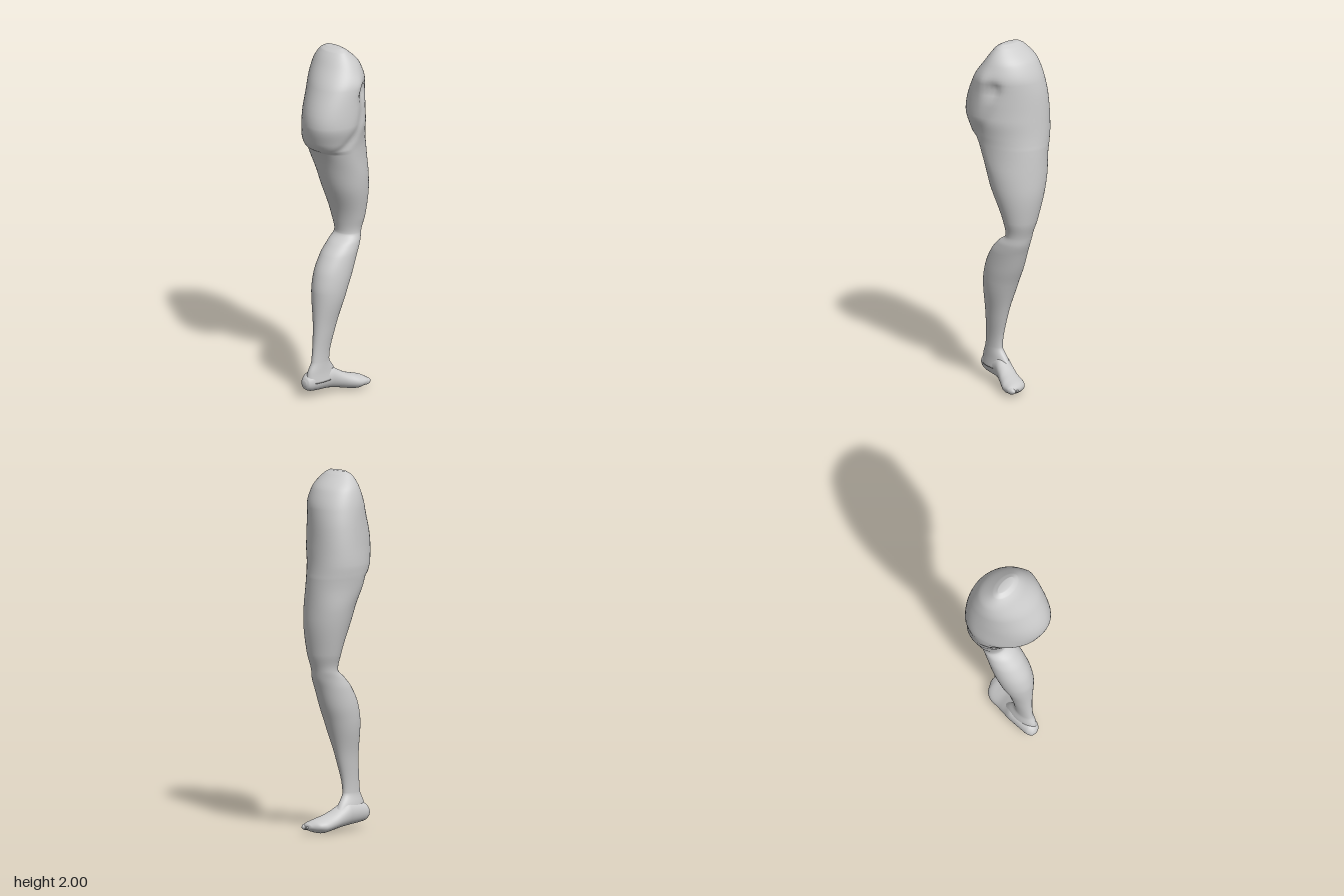
import * as THREE from 'three';

const material = new THREE.MeshStandardMaterial({ color: 0xcccccc, roughness: 0.8 });
const { smoothstep, clamp, lerp } = THREE.MathUtils;

// Smooth interpolation of one table column without overshoot
function sample(rows, col, t) {
  const n = rows.length;
  let i = 0;
  while (i < n - 2 && t > rows[i + 1][0]) i++;
  const slope = k => (rows[k + 1][col] - rows[k][col]) / (rows[k + 1][0] - rows[k][0]);
  const tangent = k => {
    if (k === 0) return slope(0);
    if (k === n - 1) return slope(n - 2);
    const a = slope(k - 1), b = slope(k);
    return a * b <= 0 ? 0 : (2 * a * b) / (a + b);
  };
  const h = rows[i + 1][0] - rows[i][0], u = (t - rows[i][0]) / h, u2 = u * u, u3 = u2 * u;
  return (2 * u3 - 3 * u2 + 1) * rows[i][col] + (u3 - 2 * u2 + u) * h * tangent(i)
    + (3 * u2 - 2 * u3) * rows[i + 1][col] + (u3 - u2) * h * tangent(i + 1);
}

// Closed skin through egg-shaped sections [t, aMin, aMax, bMin, bMax];
// shape(t, mean) gives the widest point along a and the two skews
function loft(name, rows, shape, place, steps, sides) {
  const ts = [];
  for (let i = 0; i < rows.length - 1; i++)
    for (let s = 0; s < steps; s++) ts.push(rows[i][0] + (rows[i + 1][0] - rows[i][0]) * s / steps);
  ts.push(rows[rows.length - 1][0]);
  const pos = [], index = [];
  for (const t of ts) {
    const [a0, a1, b0, b1] = [1, 2, 3, 4].map(c => sample(rows, c, t));
    const [mid, ka, kb] = shape(t, (a0 + a1) / 2);
    for (let j = 0; j < sides; j++) {
      const q = j / sides * Math.PI * 2, c = Math.cos(q), s = Math.sin(q);
      pos.push(...place(t, mid + (c > 0 ? a1 - mid : mid - a0) * c + ka * s,
        (b0 + b1) / 2 + (b1 - b0) / 2 * s + kb * c));
    }
  }
  const last = ts.length - 1;
  for (let i = 0; i < last; i++)
    for (let j = 0; j < sides; j++) {
      const k = (j + 1) % sides, a = i * sides + j, b = i * sides + k;
      index.push(a, a + sides, b, b, a + sides, b + sides);
    }
  // End caps
  for (const end of [0, last]) {
    const r = rows[end ? rows.length - 1 : 0], centre = pos.length / 3;
    pos.push(...place(r[0], (r[1] + r[2]) / 2, (r[3] + r[4]) / 2));
    for (let j = 0; j < sides; j++) {
      const a = end * sides + j, b = end * sides + (j + 1) % sides;
      if (end) index.push(a, centre, b); else index.push(a, b, centre);
    }
  }
  const g = new THREE.BufferGeometry();
  g.setAttribute('position', new THREE.Float32BufferAttribute(pos, 3));
  g.setIndex(index);
  g.computeVertexNormals();
  const mesh = new THREE.Mesh(g, material);
  mesh.name = name;
  return mesh;
}

// Buttock leans inwards, thigh turns outwards
const legShape = (y, mean) => [
  lerp(mean, 0.02, smoothstep(y, 1.25, 1.42) * (1 - smoothstep(y, 1.7, 1.93))),
  -0.045 * smoothstep(y, 1.35, 1.65) * (1 - smoothstep(y, 1.7, 2)),
  -0.025 * smoothstep(y, 0.95, 1.3) * (1 - smoothstep(y, 1.4, 1.9)),
];

const bump = (x, y, cx, cy, rx, ry) => Math.exp(-(((x - cx) / rx) ** 2) - ((y - cy) / ry) ** 2);

// Groin hollow and the crease between buttock and inner thigh
function sculptLeg(y, x, z) {
  if (z > 0) {
    const w = Math.min(1, z / 0.08);
    z -= w * 0.028 * bump(x, y, 0.06, 1.77, 0.04, 0.04);
    z += w * 0.01 * bump(x, y, 0.01, 1.81, 0.04, 0.06);
    const u = clamp((1.74 - y) / 0.29, 0, 1);
    z -= w * 0.01 * bump(x, y, 0.05 - 0.16 * u * u, 1.74 - 0.29 * u, 0.04, 0.04);
  }
  return [x, y, z];
}

export function createModel() {
  const group = new THREE.Group();
  group.name = 'leg';

  // Ankle to hip: y, back and front x, outer and inner z
  const legRows = [
    [0.09, -0.213, 0.025, -0.052, 0.045],
    [0.15, -0.201, -0.015, -0.043, 0.038],
    [0.21, -0.176, -0.053, -0.031, 0.036],
    [0.40, -0.16, -0.012, -0.045, 0.06],
    [0.60, -0.155, 0.057, -0.083, 0.10],
    [0.70, -0.135, 0.1, -0.09, 0.106],
    [0.80, -0.082, 0.137, -0.085, 0.104],
    [0.86, -0.025, 0.16, -0.077, 0.096],
    [0.91, 0.034, 0.172, -0.073, 0.081],
    [1.00, 0.02, 0.199, -0.097, 0.10],
    [1.20, -0.057, 0.224, -0.148, 0.142],
    [1.42, -0.135, 0.218, -0.19, 0.16],
    [1.45, -0.176, 0.215, -0.194, 0.163],
    [1.50, -0.205, 0.21, -0.198, 0.172],
    [1.60, -0.225, 0.2, -0.194, 0.193],
    [1.80, -0.158, 0.182, -0.18, 0.184],
    [1.90, -0.1, 0.145, -0.158, 0.145],
    [1.98, -0.045, 0.062, -0.1, 0.083],
    [2.00, -0.012, 0.03, -0.065, 0.05],
  ];
  group.add(loft('thighAndCalf', legRows, legShape, sculptLeg, 6, 56));

  // Heel to toes: x, outer and inner z, sole and instep y
  const footRows = [
    [-0.222, -0.03, -0.005, 0.08, 0.105],
    [-0.212, -0.047, 0.015, 0.056, 0.125],
    [-0.18, -0.059, 0.03, 0.041, 0.148],
    [-0.06, -0.057, 0.047, 0.03, 0.162],
    [0.00, -0.045, 0.068, 0.02, 0.128],
    [0.05, -0.035, 0.092, 0.008, 0.1],
    [0.10, -0.028, 0.114, 0.0, 0.083],
    [0.14, -0.005, 0.117, 0.010, 0.070],
    [0.17, 0.05, 0.10, 0.026, 0.052],
  ];
  group.add(loft('foot', footRows, (x, mean) => [mean, 0, 0], (x, z, y) => [x, y, z], 6, 32));

  // Toes, big toe on the inner side
  for (let i = 0; i < 5; i++) {
    const r = i === 0 ? 0.019 : 0.0145 - i * 0.0008;
    const toe = new THREE.Mesh(new THREE.SphereGeometry(1, 16, 12), material);
    toe.name = 'toe' + (i + 1);
    toe.scale.set(0.035, r, r);
    toe.position.set(0.145 - i * i * 0.0035, 0.036 - i * 0.001, 0.098 - i * 0.027);
    group.add(toe);
  }
  return group;
}
